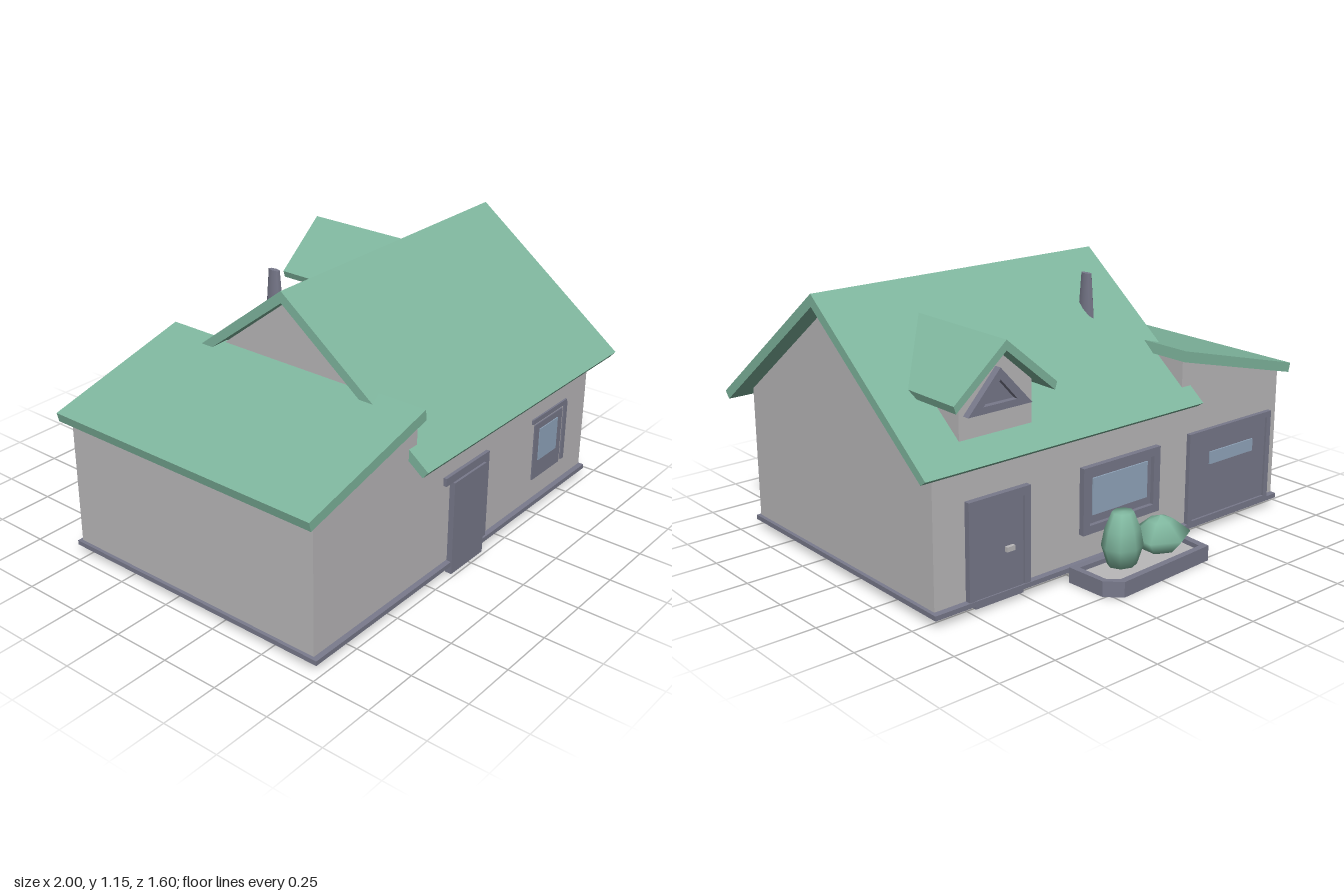
import * as THREE from 'three';

const material = (name, color) => {
  const m = new THREE.MeshStandardMaterial({ color });
  m.name = name;
  return m;
};

export function createModel() {
  const green = material('green', 0x7fb69e);
  const plaster = material('plaster', 0xbab8ba);
  const slate = material('slate', 0x78798b);
  const glass = material('glass', 0x92a7be);
  const house = new THREE.Group();
  house.name = 'house';

  const add = (name, geometry, mat, parent = house) => {
    const mesh = new THREE.Mesh(geometry, mat);
    mesh.name = name;
    parent.add(mesh);
    return mesh;
  };
  // box given by its limits
  const box = (name, mat, x0, x1, y0, y1, z0, z1) => {
    const g = new THREE.BoxGeometry(x1 - x0, y1 - y0, z1 - z0);
    g.translate((x0 + x1) / 2, (y0 + y1) / 2, (z0 + z1) / 2);
    return add(name, g, mat);
  };
  const shapeOf = (pts) => new THREE.Shape(pts.map(([a, b]) => new THREE.Vector2(a, b)));
  const extrude = (shape, depth) =>
    new THREE.ExtrudeGeometry(shape, { depth, bevelEnabled: false });
  // (x, y) outline swept from z0 to z1
  const alongZ = (name, mat, pts, z0, z1) =>
    add(name, extrude(shapeOf(pts), z1 - z0).translate(0, 0, z0), mat);
  // (z, y) outline swept from x0 to x1
  const alongX = (name, mat, pts, x0, x1) =>
    add(name, extrude(shapeOf(pts), x1 - x0).rotateY(-Math.PI / 2).translate(x1, 0, 0), mat);
  // rectangular surround with an open middle
  const surround = (name, x0, x1, y0, y1, t, z0, z1) => {
    const s = shapeOf([[x0, y0], [x1, y0], [x1, y1], [x0, y1]]);
    s.holes.push(shapeOf([[x0 + t, y0 + t], [x0 + t, y1 - t], [x1 - t, y1 - t], [x1 - t, y0 + t]]));
    add(name, extrude(s, z1 - z0).translate(0, 0, z0), slate);
  };

  // foundation: thin at the rim, dished underneath
  const slab = new THREE.BoxGeometry(1.89, 0.08, 1.28, 8, 1, 6);
  const p = slab.attributes.position;
  for (let i = 0; i < p.count; i++) {
    const rim = Math.abs(p.getX(i)) > 0.94 || Math.abs(p.getZ(i)) > 0.63;
    p.setY(i, p.getY(i) > 0 ? (rim ? 0.055 : 0.08) : (rim ? 0.035 : 0));
  }
  slab.translate(-0.015, 0, 0.09);
  slab.computeVertexNormals();
  add('foundation', slab, slate);

  // main block and lean-to wing
  alongX('mainWalls', plaster,
    [[0.71, 0.06], [0.71, 0.625], [0.09, 1.095], [-0.53, 0.61], [-0.53, 0.06]], -0.35, 0.92);
  alongZ('wingWalls', plaster,
    [[-0.95, 0.06], [-0.35, 0.06], [-0.35, 0.78], [-0.95, 0.63]], -0.53, 0.71);

  // roofs
  alongX('mainRoof', green,
    [[0.09, 1.148], [-0.605, 0.605], [-0.575, 0.585], [0.09, 1.098], [0.775, 0.58], [0.8, 0.61]],
    -0.4, 1);
  alongZ('wingRoof', green,
    [[-1, 0.655], [-0.99, 0.615], [-0.33, 0.78], [-0.335, 0.825]], -0.56, 0.735);

  // dormer
  alongZ('dormerWalls', plaster,
    [[0.44, 0.64], [0.78, 0.64], [0.78, 0.85], [0.61, 0.995], [0.44, 0.85]], -0.51, -0.12);
  alongZ('dormerRoof', green,
    [[0.61, 1.04], [0.37, 0.84], [0.38, 0.81], [0.61, 1.0], [0.84, 0.81], [0.85, 0.84]],
    -0.575, -0.03);
  const tri = shapeOf([[0.46, 0.77], [0.76, 0.77], [0.61, 0.93]]);
  tri.holes.push(shapeOf([[0.53, 0.797], [0.61, 0.885], [0.69, 0.797]]));
  add('dormerWindowFrame', extrude(tri, 0.035).translate(0, 0, -0.54), slate);
  alongZ('dormerWindowPanel', slate,
    [[0.52, 0.79], [0.7, 0.79], [0.61, 0.89]], -0.516, -0.508);

  // flat roof vent
  const vent = add('roofVent', new THREE.CylinderGeometry(0.03, 0.048, 0.2, 8), slate);
  vent.scale.x = 0.4;
  vent.position.set(-0.16, 1.005, -0.155);

  // front door with its lintel and jamb
  box('frontDoor', slate, -0.12, 0.1, 0, 0.42, 0.705, 0.735);
  box('frontDoorLintel', slate, -0.165, 0.135, 0.42, 0.455, 0.7, 0.725);
  box('frontDoorJamb', slate, 0.1, 0.135, 0.06, 0.43, 0.7, 0.725);

  // front window
  box('frontWindowPanel', slate, 0.5, 0.72, 0.155, 0.42, 0.705, 0.716);
  box('frontWindowHead', slate, 0.48, 0.75, 0.43, 0.452, 0.705, 0.718);
  box('frontWindowJamb', slate, 0.735, 0.757, 0.16, 0.44, 0.705, 0.718);
  box('frontWindowPane', glass, 0.535, 0.68, 0.24, 0.39, 0.712, 0.72);

  // back door
  box('backDoor', slate, 0.51, 0.74, 0.02, 0.42, -0.545, -0.525);
  for (const x of [0.48, 0.745])
    box('backDoorJamb', slate, x, x + 0.03, 0.06, 0.43, -0.555, -0.52);
  box('backDoorLintel', slate, 0.48, 0.775, 0.42, 0.455, -0.555, -0.52);
  box('backDoorHandle', plaster, 0.56, 0.6, 0.215, 0.235, -0.56, -0.545);

  // back window
  surround('backWindowFrame', -0.21, 0.21, 0.17, 0.45, 0.035, -0.555, -0.52);
  box('backWindowPanel', slate, -0.18, 0.18, 0.2, 0.42, -0.537, -0.527);
  box('backWindowPane', glass, -0.15, 0.15, 0.24, 0.395, -0.543, -0.535);

  // garage door
  surround('garageFrame', -0.9, -0.39, 0.04, 0.455, 0.025, -0.55, -0.52);
  box('garageDoor', slate, -0.88, -0.41, 0.06, 0.44, -0.54, -0.525);
  box('garageWindow', glass, -0.79, -0.52, 0.295, 0.35, -0.546, -0.538);

  // planter: tray, soil bed and raised rim
  const tray = new THREE.Group();
  tray.name = 'planter';
  house.add(tray);
  const outline = shapeOf([[-0.29, 0.56], [0.29, 0.56], [0.28, 0.74], [0.22, 0.8], [-0.28, 0.77]]);
  const bed = [[-0.26, 0.59], [-0.25, 0.745], [0.21, 0.77], [0.255, 0.73], [0.26, 0.59]];
  add('planterTray', extrude(outline, 0.03), slate, tray);
  const rim = outline.clone();
  rim.holes.push(shapeOf(bed));
  add('planterRim', extrude(rim, 0.035).translate(0, 0, 0.03), slate, tray);
  add('planterBed', extrude(shapeOf(bed), 0.015).translate(0, 0, 0.03), plaster, tray);
  tray.rotation.x = -Math.PI / 2;

  // bushes
  const bush = (name, x, profile, sides, sx) => {
    const g = new THREE.LatheGeometry(profile.map(([r, y]) => new THREE.Vector2(r, y)), sides);
    const mesh = add(name, g, green);
    mesh.scale.x = sx;
    mesh.position.set(x, 0, -0.66);
  };
  bush('tallBush', 0.1, [[0, 0.04], [0.055, 0.06], [0.078, 0.14], [0.066, 0.21], [0.04, 0.28], [0, 0.28]], 8, 1.15);
  bush('lowBush', -0.11, [[0, 0.04], [0.07, 0.07], [0.12, 0.13], [0.05, 0.19], [0, 0.21]], 6, 1.1);

  return house;
}
